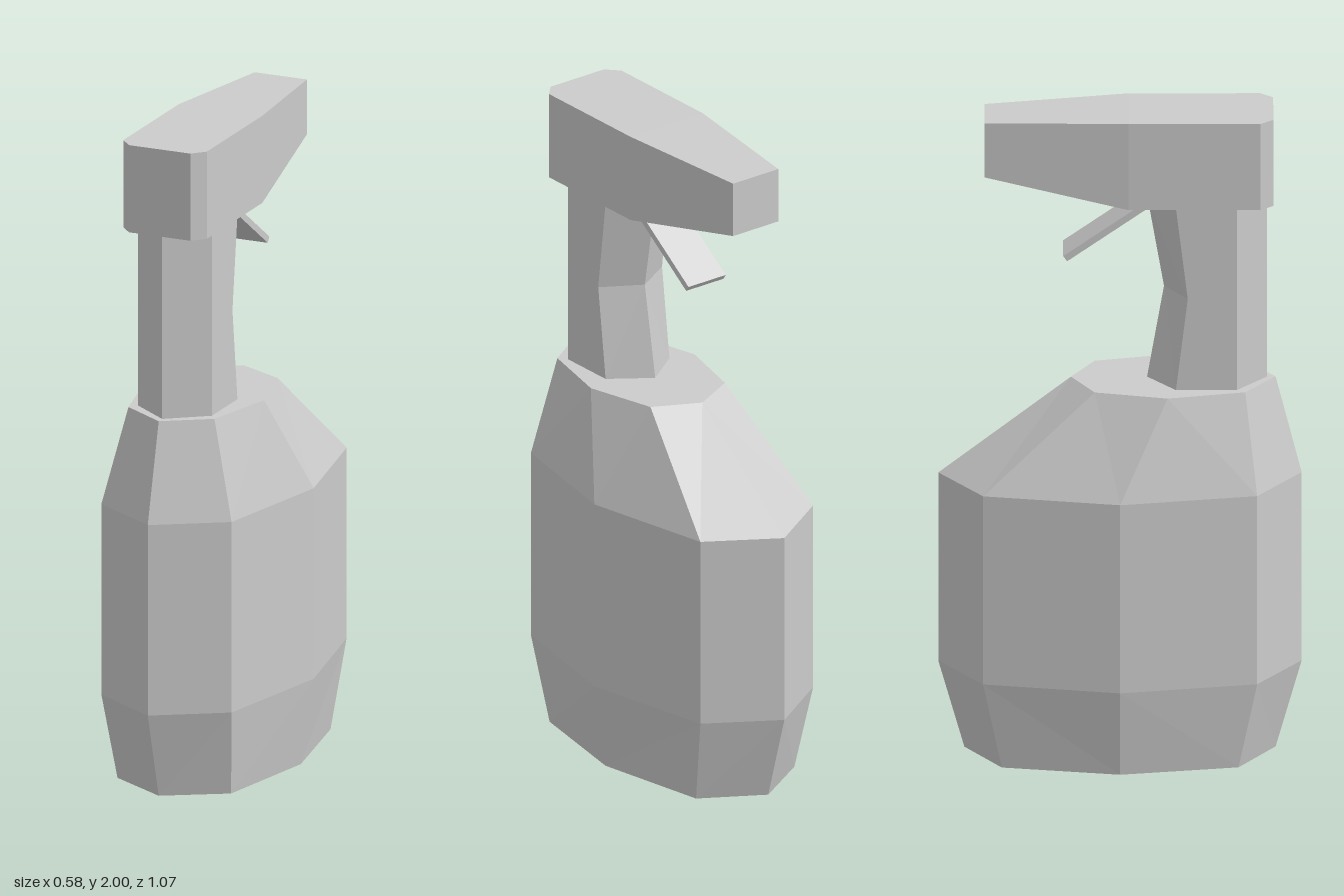
import * as THREE from 'three';

const material = new THREE.MeshStandardMaterial({ color: 0xcccccc, flatShading: true });

// Lofts half outlines of [x, y, z] points (running from +z to -z on the +x side),
// stacked from bottom to top, mirrors them across x = 0 and caps both ends.
function loft(name, rings) {
  const positions = [];
  const triangle = (...points) => {
    const [a, b, c] = points.map((p) => new THREE.Vector3(...p));
    if (new THREE.Triangle(a, b, c).getArea() < 1e-6) return;
    for (const v of [a, b, c]) positions.push(v.x, v.y, v.z);
    for (const v of [a, c, b]) positions.push(-v.x, v.y, v.z);
  };
  const quad = (a, b, c, d) => {
    triangle(a, b, c);
    triangle(a, c, d);
  };
  const toAxis = ([, y, z]) => [0, y, z];
  const bottom = rings[0];
  const top = rings[rings.length - 1];

  for (let i = 0; i < bottom.length - 1; i++) {
    for (let r = 0; r < rings.length - 1; r++) {
      quad(rings[r][i], rings[r][i + 1], rings[r + 1][i + 1], rings[r + 1][i]);
    }
    quad(top[i], top[i + 1], toAxis(top[i + 1]), toAxis(top[i]));
    quad(bottom[i + 1], bottom[i], toAxis(bottom[i]), toAxis(bottom[i + 1]));
  }
  const geometry = new THREE.BufferGeometry();
  geometry.setAttribute('position', new THREE.Float32BufferAttribute(positions, 3));
  geometry.computeVertexNormals();
  const mesh = new THREE.Mesh(geometry, material);
  mesh.name = name;
  return mesh;
}

// Places a flat [x, z] outline at height y.
const level = (y, outline) => outline.map(([x, z]) => [x, y, z]);

export function createModel() {
  const model = new THREE.Group();
  model.name = 'sprayBottle';

  // Eight-sided bottle, with shoulders sloping back towards the neck
  const base = [[0, 0.46], [0.185, 0.35], [0.25, 0], [0.185, -0.35], [0, -0.46]];
  const belly = [[0, 0.537], [0.212, 0.405], [0.292, 0], [0.212, -0.405], [0, -0.537]];
  const shoulder = [[0, 0.46], [0.14, 0.37], [0.195, 0.14], [0.14, -0.075], [0, -0.145]];
  model.add(loft('bottle', [
    level(0, base), level(0.27, belly), level(0.86, belly), level(1.16, shoulder),
  ]));

  // Six-sided neck, pinched on the trigger side for the fingers
  const neckEnd = [[0, 0.435], [0.12, 0.345], [0.12, 0.165], [0, 0.08]];
  const neckGrip = [[0, 0.435], [0.12, 0.345], [0.12, 0.2], [0, 0.13]];
  model.add(loft('neck', [
    level(1.16, neckEnd), level(1.445, neckGrip), level(1.73, neckEnd),
  ]));

  // Spray head, chamfered behind and tapering to the nozzle
  const headSide = (y, nozzleY) => [
    ...level(y, [[0, 0.453], [0.1, 0.453], [0.136, 0.415], [0.136, 0.025]]),
    ...level(nozzleY, [[0.085, -0.4], [0, -0.4]]),
  ];
  model.add(loft('sprayHead', [headSide(1.73, 1.815), headSide(2, 1.985)]));

  // Thin sloping trigger
  const trigger = new THREE.Mesh(new THREE.BoxGeometry(0.14, 0.02, 0.31), material);
  trigger.name = 'trigger';
  trigger.position.set(0, 1.643, -0.035);
  trigger.rotation.x = -0.607;
  model.add(trigger);

  return model;
}
